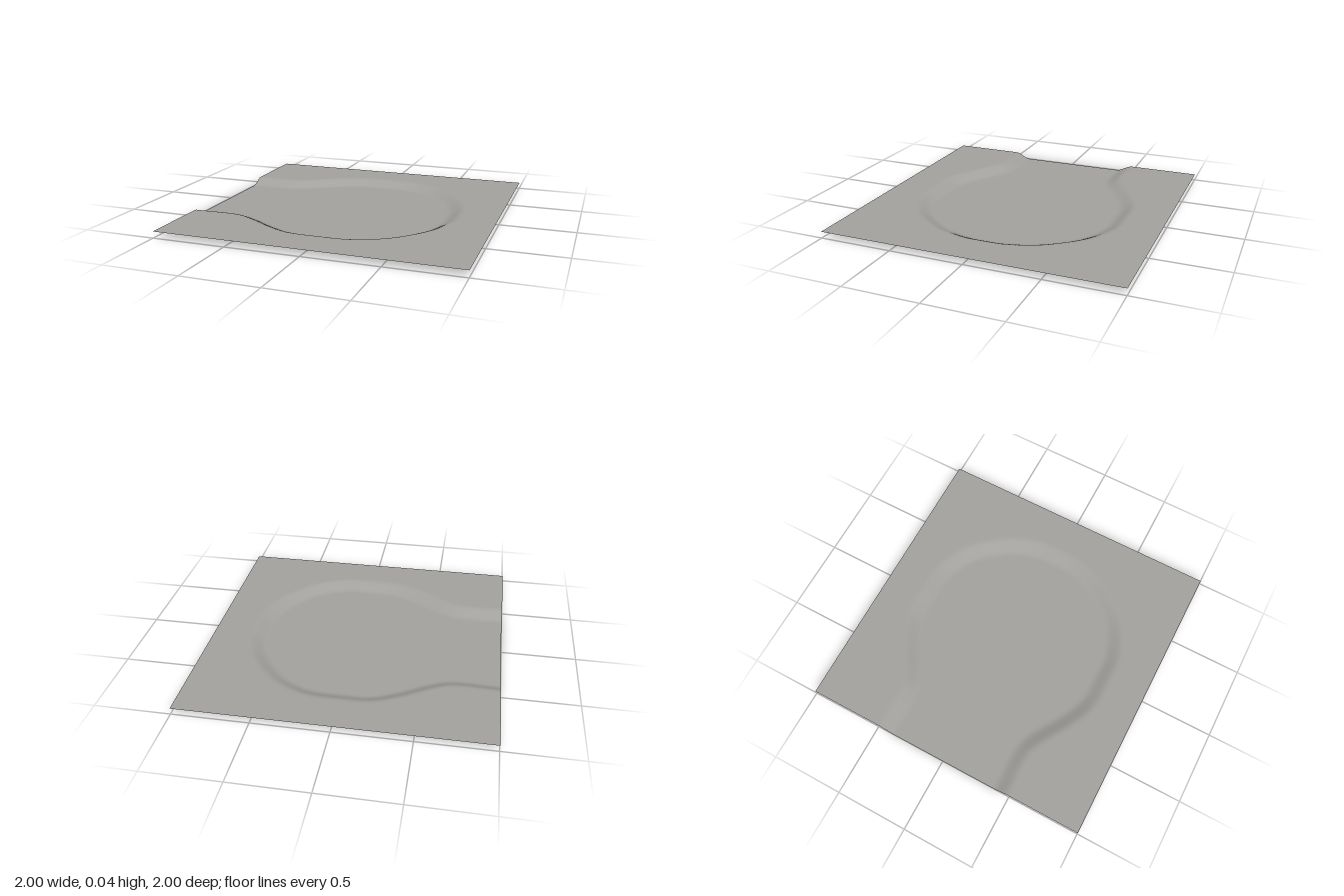
import * as THREE from 'three';

const DEPTH = 0.044;      // drop from the plateau to the basin floor
const HALF_BANK = 0.062;  // half the width of the sloping bank

// Middle of the bank as (x, |z|): a straight channel opening into a round basin
const bank = new THREE.CatmullRomCurve3([
  [-1.4, 0.44], [-1, 0.44], [-0.68, 0.44], [-0.56, 0.49], [-0.38, 0.6], [-0.2, 0.68], [0, 0.69],
  [0.2, 0.68], [0.4, 0.59], [0.54, 0.45], [0.63, 0.31], [0.685, 0.13], [0.69, 0],
].map(([x, z]) => new THREE.Vector3(x, 0, z)), false, 'centripetal').getPoints(60);

// Distance from the bank line, negative inside the basin
function bankDistance(x, z) {
  let best = Infinity, inside = false;
  for (let i = 0; i + 1 < bank.length; i++) {
    const a = bank[i], b = bank[i + 1];
    const dx = b.x - a.x, dz = b.z - a.z;
    const t = THREE.MathUtils.clamp(((x - a.x) * dx + (z - a.z) * dz) / (dx * dx + dz * dz), 0, 1);
    best = Math.min(best, Math.hypot(x - a.x - t * dx, z - a.z - t * dz));
    if (x >= a.x && x < b.x) inside = z < a.z + ((x - a.x) / dx) * dz;
  }
  return inside ? -best : best;
}

export function createModel() {
  const group = new THREE.Group();
  group.name = 'basinTerrain';
  const stone = new THREE.MeshStandardMaterial({ color: 0xa3a19d, side: THREE.DoubleSide });
  stone.name = 'warm grey ground';

  // One smooth sheet: plateau, sloping bank and sunken floor
  const geometry = new THREE.PlaneGeometry(2, 2, 120, 120).rotateX(-Math.PI / 2);
  const p = geometry.attributes.position;
  for (let i = 0; i < p.count; i++) {
    const d = bankDistance(p.getX(i), Math.abs(p.getZ(i)));
    p.setY(i, DEPTH * THREE.MathUtils.smoothstep(d, -HALF_BANK, HALF_BANK));
  }
  geometry.computeVertexNormals();

  const ground = new THREE.Mesh(geometry, stone);
  ground.name = 'groundSheet';
  group.add(ground);
  return group;
}
